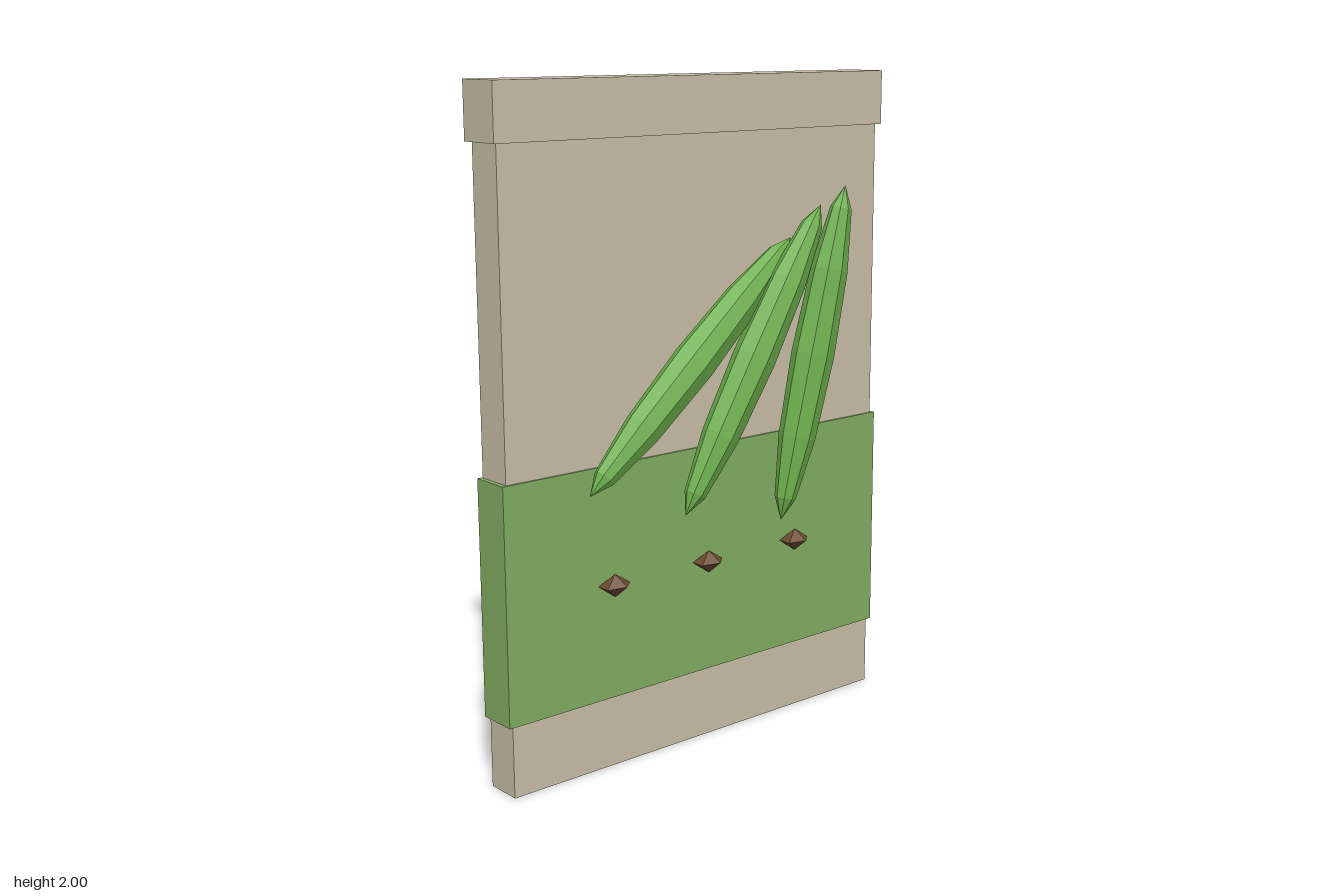
import * as THREE from 'three';

export function createModel() {
  const model = new THREE.Group();
  model.name = 'beanSeedPacket';

  const material = (name, color) => {
    const m = new THREE.MeshStandardMaterial({ color });
    m.name = name;
    m.flatShading = true;
    return m;
  };
  const paper = material('tan paper', 0xc9bfa8);
  const label = material('label green', 0x82ad62);
  const podGreen = material('pod green', 0x6db04c);
  const seedBrown = material('seed brown', 0x6b4a2f);

  const add = (name, geometry, mat, x, y, z) => {
    const mesh = new THREE.Mesh(geometry, mat);
    mesh.name = name;
    mesh.position.set(x, y, z);
    model.add(mesh);
    return mesh;
  };

  // Flat packet: body, folded top and wrap-around label band
  const slab = (name, mat, halfWidth, y0, y1, z0, z1) =>
    add(name, new THREE.BoxGeometry(halfWidth * 2, y1 - y0, z1 - z0), mat,
      0, (y0 + y1) / 2, (z0 + z1) / 2);
  slab('packetBody', paper, 0.703, 0, 1.9, -0.22, -0.107);
  slab('topFold', paper, 0.717, 1.837, 2, -0.235, -0.095);
  slab('labelBand', label, 0.717, 0.215, 0.917, -0.226, -0.101);

  // Three faceted pods, fanned out and stepped forward
  const podShape = new THREE.SphereGeometry(1, 8, 6);
  podShape.scale(0.065, 0.49, 0.059);
  for (let i = 0; i < 3; i++) {
    const pod = add('pod' + (i + 1), podShape, podGreen,
      (i - 1) * 0.175, 1.215, 0.059 + i * 0.0585);
    pod.rotation.z = -(0.85 - i * 0.3);
  }

  // Row of small five-sided seeds set into the label
  const seedShape = new THREE.SphereGeometry(1, 5, 2);
  seedShape.rotateY(Math.PI);
  seedShape.scale(0.054, 0.035, 0.037);
  for (let i = 0; i < 3; i++) {
    add('seed' + (i + 1), seedShape, seedBrown, (i - 1) * 0.353 - 0.004, 0.565, -0.079);
  }

  return model;
}
